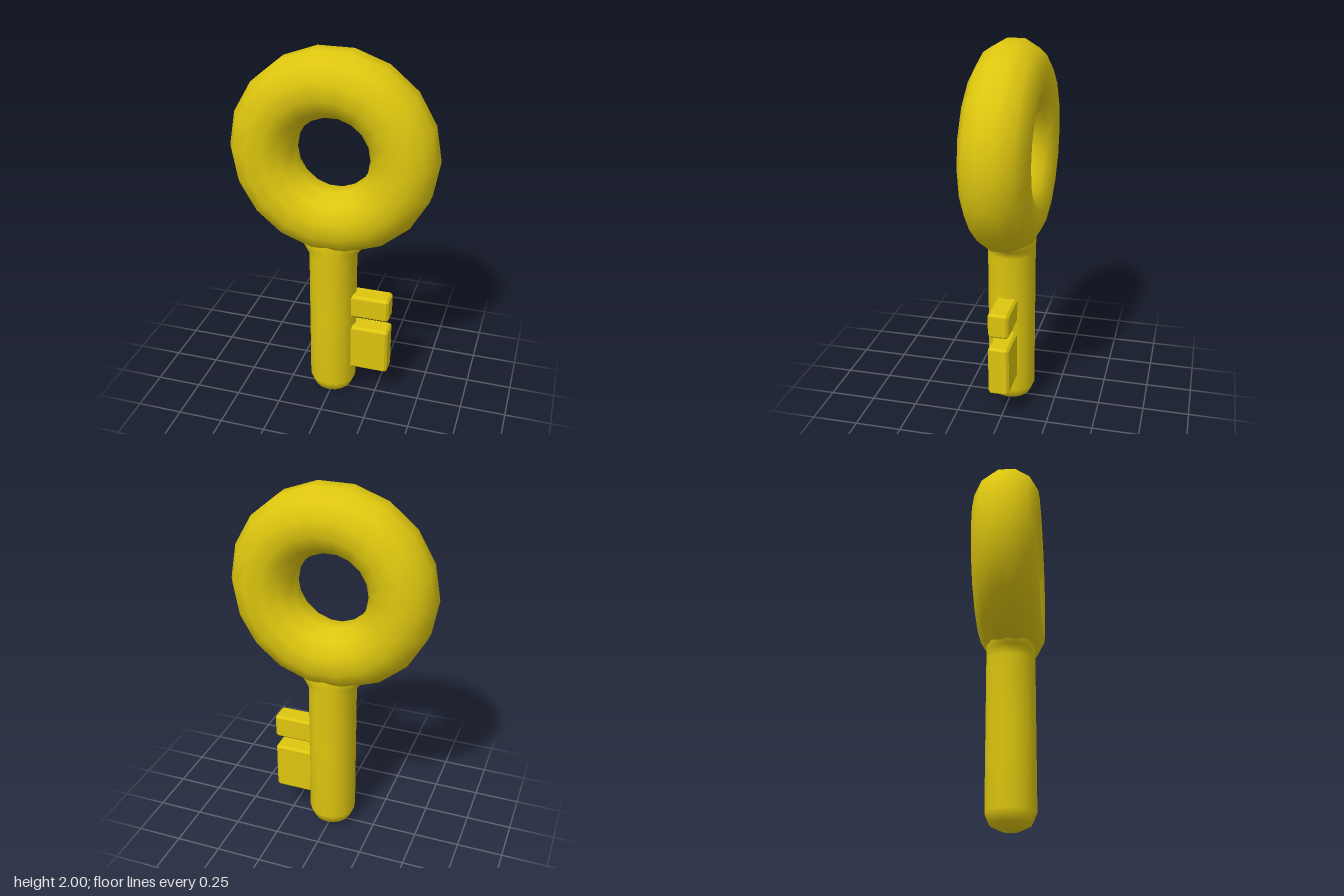
import * as THREE from 'three';
import { mergeVertices } from 'three/addons/utils/BufferGeometryUtils.js';

const gold = new THREE.MeshStandardMaterial({ color: 0xddc60f });

function part(name, geometry) {
  const mesh = new THREE.Mesh(geometry, gold);
  mesh.name = name;
  return mesh;
}

// Weld lathe seams so the whole surface shades smoothly
function smooth(geometry) {
  geometry.deleteAttribute('uv');
  geometry.deleteAttribute('normal');
  const welded = mergeVertices(geometry, 1e-4);
  welded.computeVertexNormals();
  return welded;
}

// Ring handle: 12-sided section with flat front and back, swept in 18 steps
function ringGeometry() {
  const section = [];
  for (let i = 0; i <= 12; i++) {
    const a = (i + 0.5) * Math.PI / 6;
    section.push(new THREE.Vector2(0.375 + 0.176 * Math.cos(a), 0.176 * Math.sin(a)));
  }
  const g = new THREE.LatheGeometry(section, 18, Math.PI / 2);
  g.rotateX(Math.PI / 2);
  g.translate(0, 1.463, 0);
  return smooth(g);
}

// Shaft: rounded tip, widening sideways where it meets the ring
function shaftGeometry() {
  const profile = [
    [0, 0], [0.045, 0.003], [0.105, 0.032], [0.13, 0.09], [0.13, 0.5],
    [0.13, 0.89], [0.13, 0.935], [0.13, 0.99], [0.11, 1.08],
  ].map(([r, y]) => new THREE.Vector2(r, y));
  const g = new THREE.LatheGeometry(profile, 16);
  const p = g.attributes.position;
  for (let i = 0; i < p.count; i++) {
    const y = p.getY(i);
    if (y > 0.9) p.setX(i, p.getX(i) * (1 + Math.min(0.8, (y - 0.9) * 6.5)));
  }
  return smooth(g);
}

// Tooth: a box with every edge chamfered
function toothGeometry(x0, x1, y0, y1, depth, c = 0.013) {
  const [l, r, b, t] = [x0 + c, x1 - c, y0 + c, y1 - c];
  const k = 0.004;
  const shape = new THREE.Shape([
    [l + k, b], [r - k, b], [r, b + k], [r, t - k],
    [r - k, t], [l + k, t], [l, t - k], [l, b + k],
  ].map(([x, y]) => new THREE.Vector2(x, y)));
  const g = new THREE.ExtrudeGeometry(shape, {
    depth: depth - 2 * c, bevelEnabled: true, bevelThickness: c, bevelSize: c, bevelSegments: 1,
  });
  g.translate(0, 0, c - depth / 2);
  return g;
}

export function createModel() {
  const key = new THREE.Group();
  key.name = 'key';
  key.add(
    part('ringHandle', ringGeometry()),
    part('shaft', shaftGeometry()),
    part('upperTooth', toothGeometry(0.08, 0.325, 0.52, 0.657, 0.112)),
    part('lowerTooth', toothGeometry(0.08, 0.325, 0.18, 0.457, 0.112)),
  );
  return key;
}
